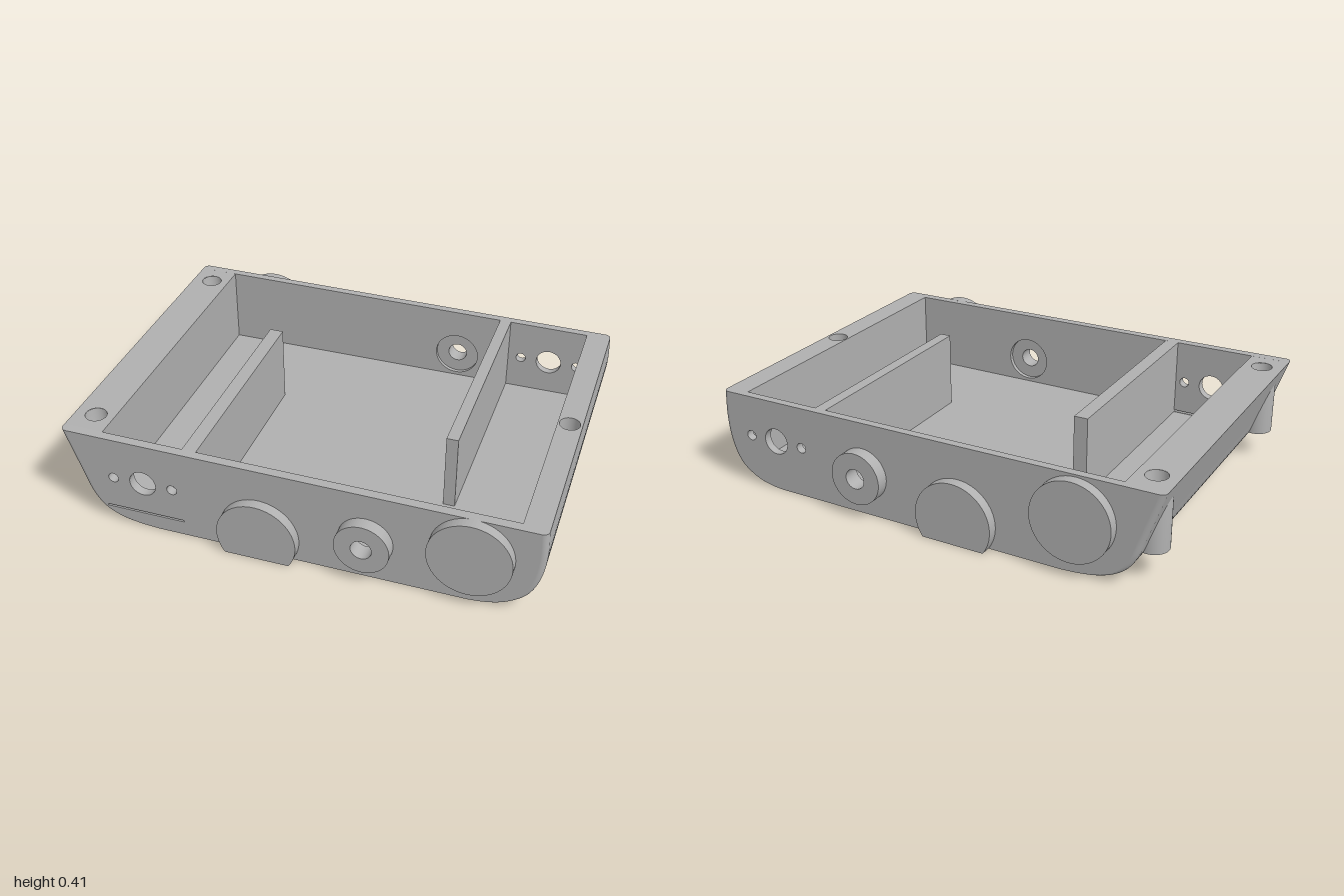
import * as THREE from 'three';
import { ParametricGeometry } from 'three/addons/geometries/ParametricGeometry.js';

const FRONT = 0.72, BACK = -0.725, IN_FRONT = 0.68, IN_BACK = -0.69;
const IN_L = -0.83, IN_R = 0.89, FLOOR = 0.065, R = 0.025;
const top = (x) => 0.4075 - 0.0075 * x; // slightly sloping rim

// End profiles, from the bottom up to the rim
const curve = (pts) => new THREE.CatmullRomCurve3(pts.map(([x, y]) => new THREE.Vector3(x, y, 0)));
const leftCurve = curve([[-0.62, 0], [-0.7, 0.006], [-0.78, 0.022], [-0.835, 0.048], [-0.87, 0.08],
  [-0.9, 0.13], [-0.925, 0.2], [-0.96, 0.3], [-1, 0.415]]);
const rightCurve = curve([[0.74, 0], [0.79, 0.005], [0.85, 0.02], [0.9, 0.046], [0.94, 0.08],
  [0.97, 0.135], [0.988, 0.2], [0.997, 0.29], [0.993, 0.4]]);

// Vertical screw hole that leaves through the curved right end
const HOLE = { x: 0.94, z: 0.01, r: 0.043 };
const PATCH = { t: 0.5625, dt: 0.3125, dz: 0.08 };

function tAtX(x) {
  let a = 0, b = 0.9;
  for (let i = 0; i < 30; i++) {
    const m = (a + b) / 2;
    if (rightCurve.getPoint(m).x < x) a = m; else b = m;
  }
  return a;
}

function circlePath(x, y, r) {
  const p = new THREE.Path();
  p.absarc(x, y, r, 0, Math.PI * 2, true);
  return p;
}

function rectPath(x0, y0, x1, y1) {
  return new THREE.Path([[x0, y0], [x0, y1], [x1, y1], [x1, y0]].map(([x, y]) => new THREE.Vector2(x, y)));
}

// Plan outline with rounded corners (shape y is -z)
function plan(x0, x1) {
  const s = new THREE.Shape();
  s.absarc(x1 - R, -FRONT + R, R, -Math.PI / 2, 0);
  s.absarc(x1 - R, -BACK - R, R, 0, Math.PI / 2);
  s.absarc(x0 + R, -BACK - R, R, Math.PI / 2, Math.PI);
  s.absarc(x0 + R, -FRONT + R, R, Math.PI, Math.PI * 1.5);
  return s;
}

export function createModel() {
  const group = new THREE.Group();
  group.name = 'tray';
  const grey = new THREE.MeshStandardMaterial({ color: 0xb0b0b0, side: THREE.DoubleSide });
  grey.name = 'grey';
  const add = (name, geo) => {
    const m = new THREE.Mesh(geo, grey);
    m.name = name;
    group.add(m);
    return m;
  };
  const surface = (name, fn, nu, nv) => add(name, new ParametricGeometry(fn, nu, nv));
  const box = (name, x0, x1, y0, y1, z0, z1) => {
    const g = new THREE.BoxGeometry(x1 - x0, y1 - y0, z1 - z0);
    g.translate((x0 + x1) / 2, (y0 + y1) / 2, (z0 + z1) / 2);
    const p = g.attributes.position;
    for (let i = 0; i < p.count; i++) if (p.getY(i) > 0.3) p.setY(i, top(p.getX(i)));
    return add(name, g);
  };
  const slab = (name, shape, z0, z1) => {
    const g = new THREE.ExtrudeGeometry(shape, { depth: z1 - z0, bevelEnabled: false, curveSegments: 40 });
    g.translate(0, 0, z0);
    return add(name, g);
  };

  // Long walls: an outer layer with small holes, an inner one with a counterbore
  const outline = () => {
    const l = leftCurve.getPoints(32).reverse().map((p) => new THREE.Vector2(p.x + R, p.y));
    const r = rightCurve.getPoints(32).map((p) => new THREE.Vector2(p.x - R, p.y));
    return new THREE.Shape([...l, ...r]);
  };
  const wall = (name, portX, z0, z1, boreR, slot) => {
    const s = outline();
    s.holes.push(circlePath(portX, 0.222, 0.057), circlePath(portX - 0.13, 0.222, 0.022),
      circlePath(portX + 0.13, 0.222, 0.022), circlePath(0.295, 0.18, boreR));
    if (slot) s.holes.push(rectPath(-0.825, 0.067, -0.48, 0.075));
    slab(name, s, z0, z1);
  };
  wall('frontWallOuter', -0.652, 0.7, FRONT, 0.043, true);
  wall('frontWallInner', -0.652, IN_FRONT, 0.7, 0.1, true);
  wall('backWallOuter', 0.73, BACK, -0.707, 0.043, false);
  wall('backWallInner', 0.73, -0.707, IN_BACK, 0.1, false);

  // Round bosses on both long sides
  for (const [side, discX, z0, z1, rz0, rz1] of [
    ['front', 0.715, 0.71, 0.765, FRONT, 0.775], ['back', -0.65, -0.77, -0.715, -0.78, BACK]]) {
    const disc = new THREE.Shape();
    disc.absarc(discX, 0.235, 0.168, 0, Math.PI * 2);
    slab(side + 'Disc', disc, z0, z1);
    const cut = Math.asin(0.098 / 0.168);
    const low = new THREE.Shape();
    low.absarc(-0.148, 0.098, 0.168, -cut, Math.PI + cut);
    slab(side + 'CutDisc', low, z0, z1);
    const ring = new THREE.Shape();
    ring.absarc(0.295, 0.18, 0.113, 0, Math.PI * 2);
    ring.holes.push(circlePath(0.295, 0.18, 0.043));
    slab(side + 'RingBoss', ring, rz0, rz1);
  }

  // Curved ends, with rounded vertical corners
  for (const [name, c, s] of [['leftEnd', leftCurve, -1], ['rightEnd', rightCurve, 1]]) {
    const panel = (t0, t1, z0, z1) => surface(name, (u, v, out) => {
      const p = c.getPoint(t0 + (t1 - t0) * u);
      out.set(p.x, p.y, s > 0 ? z1 + (z0 - z1) * v : z0 + (z1 - z0) * v);
    }, 32, 1);
    for (const [edge, d] of [[FRONT, 1], [BACK, -1]]) {
      surface(name + 'Corner', (u, v, out) => {
        const a = (s * d > 0 ? 1 - v : v) * Math.PI / 2;
        const p = c.getPoint(u);
        out.set(p.x - s * R * (1 - Math.cos(a)), p.y, edge - d * R * (1 - Math.sin(a)));
      }, 32, 6);
    }
    const zb = BACK + R, zf = FRONT - R;
    if (s < 0) {
      panel(0, 1, zb, zf);
    } else {
      const { t, dt, dz } = PATCH;
      panel(0, 1, zb, HOLE.z - dz);
      panel(0, 1, HOLE.z + dz, zf);
      panel(0, t - dt, HOLE.z - dz, HOLE.z + dz);
      panel(t + dt, 1, HOLE.z - dz, HOLE.z + dz);
    }
  }

  // Skin around the screw hole's exit, and the hole's own wall
  const square = (v) => { // walk round a unit square
    const k = (v % 1) * 4, i = Math.floor(k), f = (k - i) * 2 - 1;
    return [[1, f], [-f, 1], [-1, -f], [f, -1]][i];
  };
  surface('holeSurround', (u, v, out) => {
    const [a, b] = square(Math.min(Math.max(v, 0), 1));
    const th = Math.atan2(b, a);
    const ht = tAtX(HOLE.x + HOLE.r * Math.cos(th)), hz = HOLE.z + HOLE.r * Math.sin(th);
    const p = rightCurve.getPoint(ht + (PATCH.t + PATCH.dt * a - ht) * u);
    out.set(p.x, p.y, hz + (HOLE.z + PATCH.dz * b - hz) * u);
  }, 6, 48);
  surface('screwHole', (u, v, out) => {
    const th = v * Math.PI * 2, x = HOLE.x + HOLE.r * Math.cos(th);
    const y = rightCurve.getPoint(tAtX(x)).y;
    out.set(x, y + (top(x) - y) * u, HOLE.z + HOLE.r * Math.sin(th));
  }, 1, 40);

  // Rim, underside and inside of the tray
  const rimShape = plan(-1, 0.993);
  rimShape.holes.push(rectPath(IN_L, -IN_FRONT, IN_R, -IN_BACK), circlePath(HOLE.x, -HOLE.z, HOLE.r));
  const posts = [-0.59, 0.58];
  for (const z of posts) rimShape.holes.push(circlePath(-0.91, -z, 0.045));
  const rim = new THREE.ShapeGeometry(rimShape, 20).rotateX(-Math.PI / 2);
  const rp = rim.attributes.position;
  for (let i = 0; i < rp.count; i++) rp.setY(i, top(rp.getX(i)));
  add('rim', rim);
  const base = new THREE.ShapeGeometry(plan(-0.62, 0.74), 8).rotateX(Math.PI / 2);
  base.translate(0, 0, FRONT + BACK);
  add('underside', base);
  box('floor', IN_L, IN_R, 0.055, FLOOR, IN_BACK, IN_FRONT);
  box('leftInnerWall', IN_L - 0.005, IN_L, 0.055, 0.4, IN_BACK, IN_FRONT);
  box('rightInnerWall', IN_R, IN_R + 0.004, 0.055, 0.4, IN_BACK, IN_FRONT);
  box('leftDivider', -0.48, -0.42, FLOOR, 0.4, -0.27, IN_FRONT);
  box('rightDivider', 0.49, 0.54, FLOOR, 0.4, IN_BACK, 0.27);

  // Hollow screw posts showing through the sloping left end
  const post = [[0, 0.12], [0.065, 0.12], [0.065, 0.12], [0.065, 0.38], [0.045, 0.414], [0.045, 0.25], [0, 0.25]]
    .map(([x, y]) => new THREE.Vector2(x, y));
  for (const z of posts) add('screwPost', new THREE.LatheGeometry(post, 32)).position.set(-0.91, 0, z);

  return group;
}
